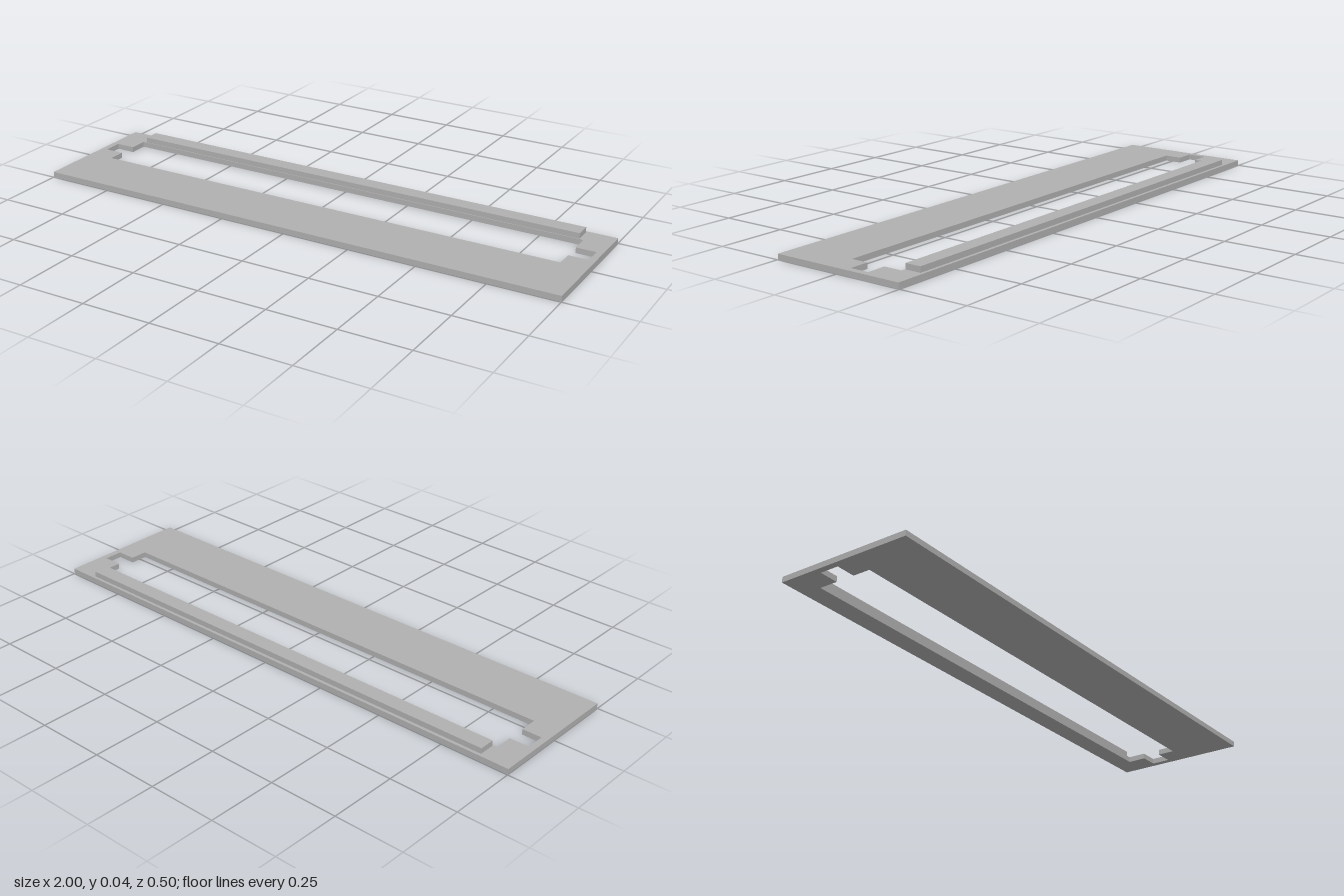
import * as THREE from 'three';

export function createModel() {
  const group = new THREE.Group();
  const grey = new THREE.MeshStandardMaterial({ color: 0xb0b0b0 });
  grey.name = 'grey';

  const thickness = 0.02;
  const points = (list) => list.map(([x, z]) => new THREE.Vector2(x, -z));

  // flat plate outline
  const outline = new THREE.Shape(points([
    [-1, 0.2475], [1, 0.2475], [1, -0.2475], [-1, -0.2475],
  ]));

  // long slot with a notch at each end
  const back = -0.175, front = 0.026, notchBack = -0.107, notchFront = -0.038;
  const slotX = 0.906, notchX = 0.977;
  const half = [
    [slotX, back], [slotX, notchBack], [notchX, notchBack],
    [notchX, notchFront], [slotX, notchFront], [slotX, front],
  ];
  const mirrored = half.map(([x, z]) => [-x, z]).reverse();
  outline.holes.push(new THREE.Path(points([...half, ...mirrored])));

  const plateGeometry = new THREE.ExtrudeGeometry(outline, { depth: thickness, bevelEnabled: false });
  plateGeometry.rotateX(-Math.PI / 2);
  const plate = new THREE.Mesh(plateGeometry, grey);
  plate.name = 'slottedPlate';
  group.add(plate);

  // raised bar along the back edge
  const bar = new THREE.Mesh(new THREE.BoxGeometry(1.782, thickness, 0.058), grey);
  bar.name = 'raisedBar';
  bar.position.set(0, thickness * 1.5, -0.207);
  group.add(bar);

  return group;
}
